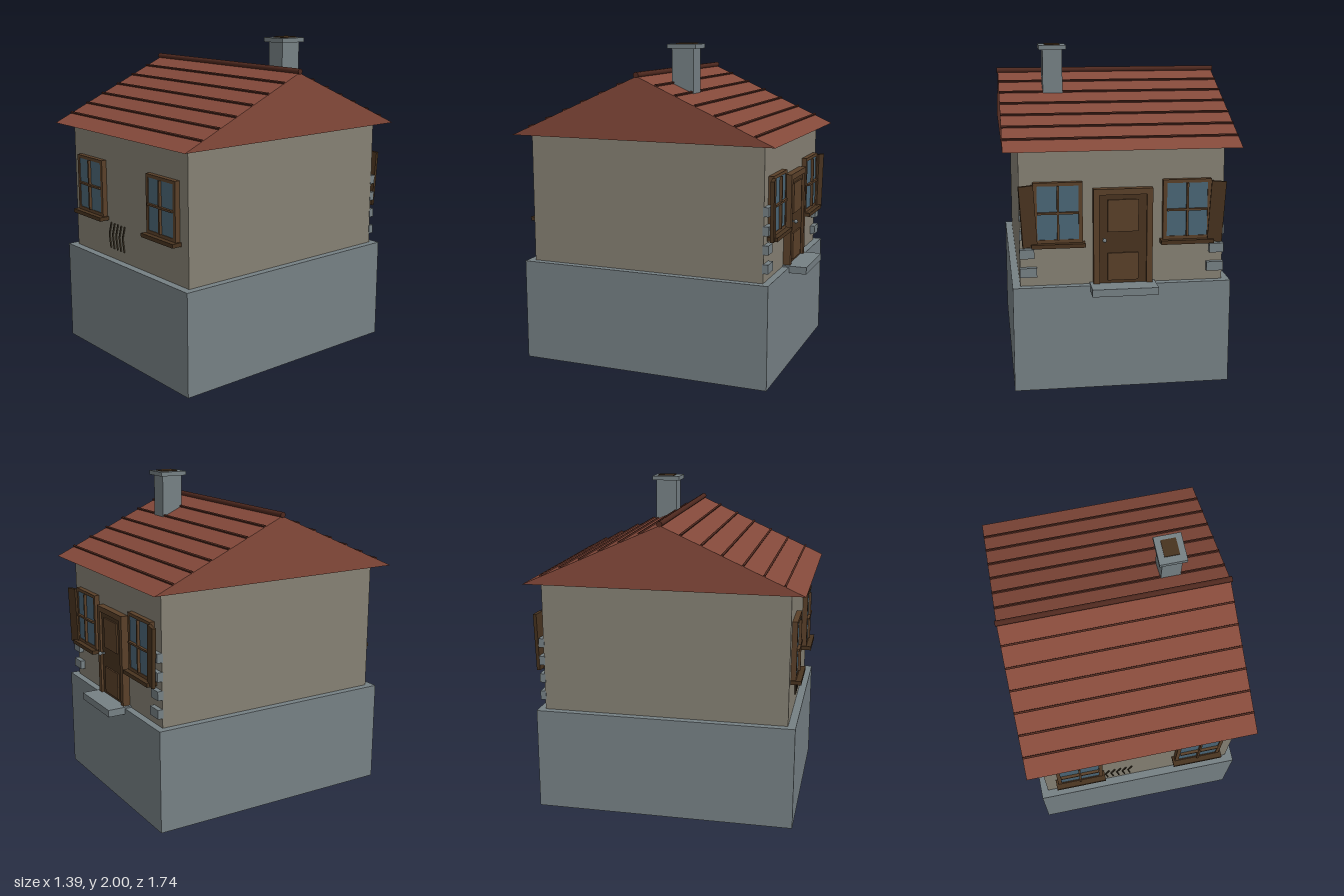
import * as THREE from 'three';

const mat = (color) => new THREE.MeshStandardMaterial({ color });
const stone = mat(0x768084), plaster = mat(0x858073), tile = mat(0x84493a), tileDark = mat(0x4e281e);
const wood = mat(0x5a4029), woodDark = mat(0x48331f), glass = mat(0x4a6575), crackMat = mat(0x3e3526);

const MID_Z = 0.035;          // ridge line and wall centre
const WALL_HALF = 0.752;      // half depth of the walls

function add(parent, name, geometry, material, x = 0, y = 0, z = 0) {
  const mesh = new THREE.Mesh(geometry, material);
  mesh.name = name;
  mesh.position.set(x, y, z);
  parent.add(mesh);
  return mesh;
}
const box = (parent, name, material, w, h, d, x, y, z) =>
  add(parent, name, new THREE.BoxGeometry(w, h, d), material, x, y, z);

// Window with its back on z = 0, facing +z
function makeWindow() {
  const g = new THREE.Group();
  g.name = 'window';
  const outer = new THREE.Shape([[-0.143, -0.178], [0.143, -0.178], [0.143, 0.178], [-0.143, 0.178]]
    .map(([x, y]) => new THREE.Vector2(x, y)));
  outer.holes.push(new THREE.Path([[-0.12, -0.158], [-0.12, 0.158], [0.12, 0.158], [0.12, -0.158]]
    .map(([x, y]) => new THREE.Vector2(x, y))));
  add(g, 'windowFrame', new THREE.ExtrudeGeometry(outer, { depth: 0.032, bevelEnabled: false }), wood);
  box(g, 'windowGlass', glass, 0.24, 0.316, 0.028, 0, 0, 0.014);
  box(g, 'verticalBar', wood, 0.012, 0.316, 0.045, 0, 0, 0.0225);
  box(g, 'horizontalBar', wood, 0.24, 0.012, 0.045, 0, 0, 0.0225);
  box(g, 'windowSill', woodDark, 0.313, 0.024, 0.064, 0, -0.19, 0.032);
  return g;
}

// Door with its back on z = 0 and its foot on y = 0, facing +z
function makeDoor() {
  const g = new THREE.Group();
  g.name = 'door';
  for (const s of [-1, 1]) box(g, 'doorPost', wood, 0.035, 0.575, 0.045, s * 0.156, 0.2875, 0.0225);
  box(g, 'doorLintel', wood, 0.277, 0.035, 0.045, 0, 0.5575, 0.0225);
  box(g, 'doorLeaf', woodDark, 0.277, 0.54, 0.03, 0, 0.27, 0.015);
  box(g, 'lowerPanel', wood, 0.18, 0.165, 0.012, 0, 0.11, 0.034);
  box(g, 'upperPanel', wood, 0.18, 0.19, 0.012, 0, 0.415, 0.034);
  add(g, 'doorKnob', new THREE.SphereGeometry(0.012, 12, 8), stone, -0.112, 0.275, 0.06);
  box(g, 'knobStem', stone, 0.01, 0.01, 0.03, -0.112, 0.275, 0.043);
  return g;
}

export function createModel() {
  const house = new THREE.Group();
  house.name = 'house';

  // Plinth and walls
  box(house, 'stoneBase', stone, 1.29, 0.635, 1.595, 0, 0.3175, 0.037);
  box(house, 'walls', plaster, 1.2, 0.82, WALL_HALF * 2, 0, 1.035, MID_Z);

  // Gable roof as a solid prism
  const half = 0.838, eave = 1.44, ridge = 1.815;
  const gable = new THREE.Shape();
  gable.moveTo(-half, eave);
  gable.lineTo(half, eave);
  gable.lineTo(0, ridge);
  gable.closePath();
  const roofGeo = new THREE.ExtrudeGeometry(gable, { depth: 1.376, bevelEnabled: false });
  roofGeo.translate(0, 0, -0.688).rotateY(Math.PI / 2);
  add(house, 'roof', roofGeo, tile, 0, 0, MID_Z);
  const slope = (ridge - eave) / half;
  for (const s of [-1, 1]) {
    for (let i = 1; i <= 6; i++) {
      const d = i * 0.12;
      const batten = box(house, 'tileRow', tileDark, 1.376, 0.014, 0.012,
        0, ridge - d * slope + 0.003, MID_Z + s * d);
      batten.rotation.x = s * Math.atan(slope);
    }
  }
  const cap = add(house, 'ridgeCap', new THREE.CylinderGeometry(0.017, 0.017, 1.39, 12), tileDark, 0, 1.823, MID_Z);
  cap.rotation.z = Math.PI / 2;

  // Chimney
  box(house, 'chimneyStack', stone, 0.12, 0.37, 0.138, 0.36, 1.785, -0.146);
  box(house, 'chimneyCap', stone, 0.165, 0.027, 0.18, 0.36, 1.981, -0.146);
  box(house, 'chimneyFlue', woodDark, 0.09, 0.02, 0.107, 0.36, 1.99, -0.153);

  // Windows on the front and back
  for (const facing of [1, -1]) {
    for (const s of [-1, 1]) {
      const w = makeWindow();
      w.position.set(s * 0.378, 1.075, MID_Z + facing * WALL_HALF);
      w.rotation.y = facing > 0 ? 0 : Math.PI;
      house.add(w);
    }
  }

  // Cracks in the front plaster
  const crack = (x0, y0, x1, y1) => {
    const m = box(house, 'crack', crackMat, 0.006, Math.hypot(x1 - x0, y1 - y0), 0.012,
      (x0 + x1) / 2, (y0 + y1) / 2, 0.789);
    m.rotation.z = -Math.atan2(x1 - x0, y1 - y0);
  };
  for (let i = 0; i < 5; i++) {
    const x = -0.213 + i * 0.037;
    crack(x, 0.787, x + 0.025, 0.865);
    crack(x + 0.015, 0.7, x, 0.787);
  }

  // Back door and step
  const backZ = MID_Z - WALL_HALF;
  const door = makeDoor();
  door.position.set(0, 0.635, backZ);
  door.rotation.y = Math.PI;
  house.add(door);
  box(house, 'doorStep', stone, 0.386, 0.044, 0.152, 0, 0.622, -0.794);

  // Crooked shutters and corner stones on the back
  for (const s of [-1, 1]) {
    const shutter = box(house, 'shutter', woodDark, 0.085, 0.36, 0.022, s * 0.552, 1.06, -0.757);
    shutter.rotation.set(0, s * 0.15, -s * 0.06);
    for (let i = 0; i < 4; i++) {
      const w = i % 2 ? 0.085 : 0.1;
      box(house, 'cornerStone', stone, w, 0.055, 0.036, s * (0.602 - w / 2), 0.722 + i * 0.112, backZ - 0.012);
    }
  }
  return house;
}
